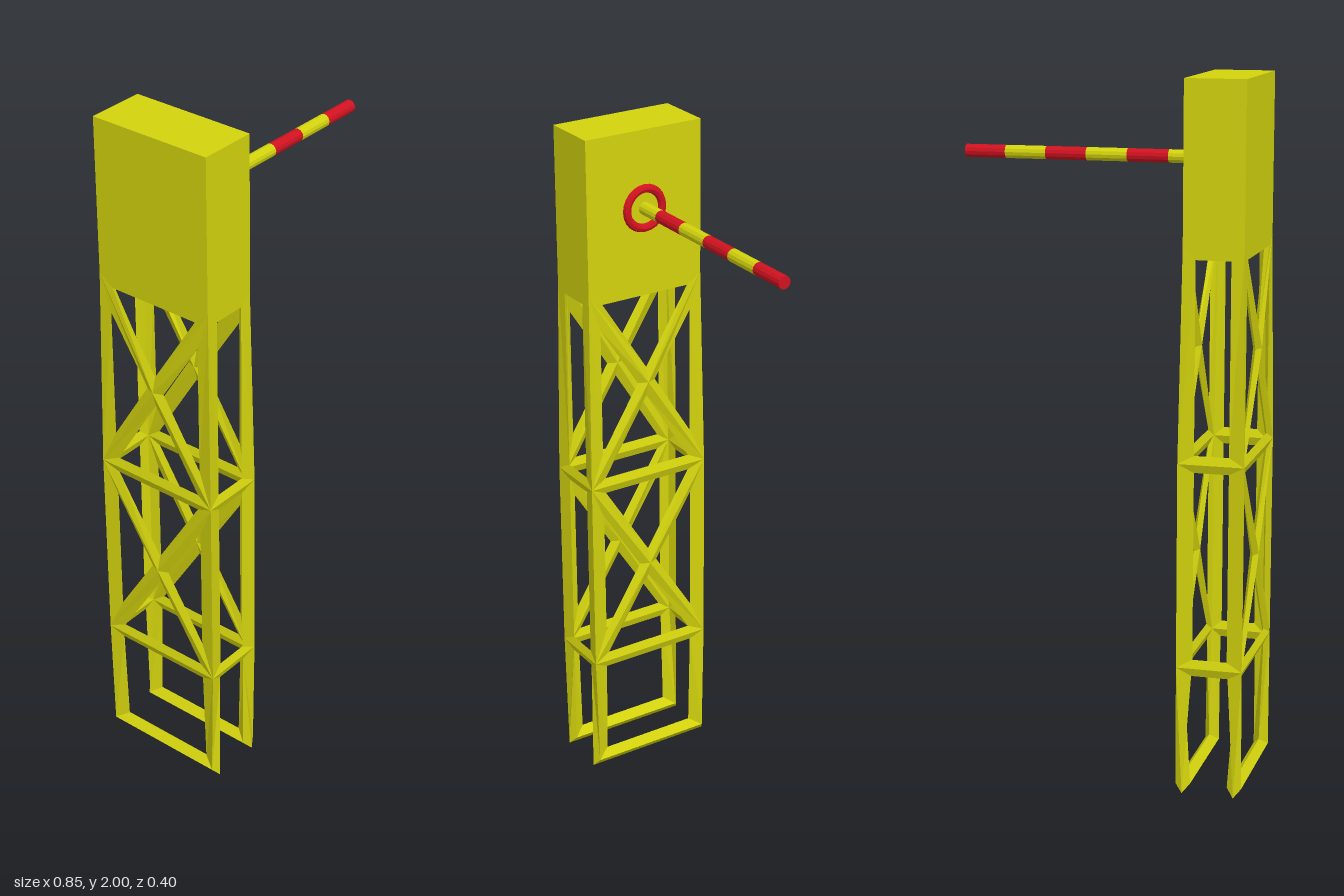
import * as THREE from 'three';

const CX = -0.33, HX = 0.085, HZ = 0.185;   // tower centre and half sizes
const LEVELS = [0.025, 0.37, 0.955, 1.55];  // heights of the lattice rings
const THICK = 0.0125, BAR = 0.024, LEG = 0.036;
const V = (x, y, z) => new THREE.Vector3(x, y, z);

const yellow = new THREE.MeshStandardMaterial({ color: 0xd2d20e, flatShading: true, side: THREE.DoubleSide });
const red = new THREE.MeshStandardMaterial({ color: 0xd01220, flatShading: true });

// Lattice node at a tower corner: middle, outer ridge, inner ridge and free-edge points
function corner(sx, k, sz) {
  const y = LEVELS[k], d = THICK / Math.SQRT2;
  const node = (p, dx, dz) => ({ p, out: p.clone().add(V(sx * dx, 0, sz * dz)), inn: p.clone().add(V(-sx * dx, 0, -sz * dz)) });
  if (k === 0) {
    // foot, slightly pulled in, with a pointed tip
    const n = node(V(CX + sx * 0.074, y, sz * HZ), 0.021, 0.002);
    n.edge = V(CX + sx * 0.074, 0, sz * 0.199);
    return n;
  }
  const n = node(V(CX + sx * HX, y, sz * HZ), d, d);
  if (k === 1) n.edge = V(CX + sx * (HX - 0.033), y - 0.024, sz * HZ);
  if (k === 3) {
    // top ring tucks under the head
    n.p.y -= 0.008;
    n.out = V(CX + sx * HX, y, sz * HZ);
    n.inn = V(CX + sx * (HX - 0.018), y - 0.01, sz * (HZ - 0.018));
  }
  return n;
}

// Crossing point of two braces
function hub(sx, k) {
  const p = V(CX + sx * HX, (LEVELS[k] + LEVELS[k + 1]) / 2, 0);
  return { p, out: p.clone().add(V(sx * THICK, 0, 0)), inn: p.clone().add(V(-sx * THICK, 0, 0)) };
}

// Frames one panel with ridged bars; free lists the edges with no neighbouring panel
function panel(pos, nodes, flip, free = []) {
  const n = nodes.length;
  const quad = (a, b, c, d, back) => {
    const q = back !== flip ? [a, d, c, b] : [a, b, c, d];
    for (const i of [0, 1, 2, 0, 2, 3]) pos.push(q[i].x, q[i].y, q[i].z);
  };
  const inset = nodes.map((node, i) => {
    const e1 = nodes[(i + 1) % n].p.clone().sub(node.p).normalize();
    const e2 = nodes[(i + n - 1) % n].p.clone().sub(node.p).normalize();
    const width = e => (Math.abs(e.y) > 0.97 ? LEG : BAR);
    const s = e1.clone().cross(e2).length();
    return node.p.clone().addScaledVector(e1, width(e2) / s).addScaledVector(e2, width(e1) / s);
  });
  nodes.forEach((a, i) => {
    const j = (i + 1) % n, b = nodes[j];
    quad(a.out, b.out, inset[j], inset[i], false);
    quad(a.inn, b.inn, inset[j], inset[i], true);
    if (free.includes(i)) {
      quad(b.out, a.out, a.edge, b.edge, false);
      quad(b.inn, a.inn, a.edge, b.edge, true);
    }
  });
}

function lattice() {
  const pos = [];
  for (const s of [-1, 1]) {
    // wide sides: open foot panel, then two cross-braced bays
    const c = (k, sz) => corner(s, k, sz);
    panel(pos, [c(0, 1), c(0, -1), c(1, -1), c(1, 1)], s < 0, [0, 1, 3]);
    for (const k of [1, 2]) {
      const ring = [c(k, 1), c(k, -1), c(k + 1, -1), c(k + 1, 1)];
      ring.forEach((a, i) => panel(pos, [a, ring[(i + 1) % 4], hub(s, k)], s < 0));
    }
    // narrow sides: two open bays
    for (const k of [1, 2]) {
      panel(pos, [corner(-1, k, s), corner(1, k, s), corner(1, k + 1, s), corner(-1, k + 1, s)],
        s < 0, k === 1 ? [0] : []);
    }
  }
  const g = new THREE.BufferGeometry();
  g.setAttribute('position', new THREE.Float32BufferAttribute(pos, 3));
  g.computeVertexNormals();
  return g;
}

export function createModel() {
  const group = new THREE.Group();
  const add = (parent, name, geometry, material, x = 0, y = 0, z = 0) => {
    const mesh = new THREE.Mesh(geometry, material);
    mesh.name = name;
    mesh.position.set(x, y, z);
    parent.add(mesh);
    return mesh;
  };

  add(group, 'latticeTower', lattice(), yellow);
  add(group, 'head', new THREE.BoxGeometry(HX * 2, 0.45, HZ * 2), yellow, CX, 1.775, 0);

  // Ring around the arm's root
  const ring = add(group, 'armCollar', new THREE.TorusGeometry(0.057, 0.0125, 8, 24), red, CX + HX, 1.775, 0);
  ring.rotation.y = Math.PI / 2;

  // Striped arm
  const arm = new THREE.Group();
  arm.name = 'arm';
  const band = 0.1175;
  for (let i = 0; i < 6; i++) {
    const seg = add(arm, 'armBand' + (i + 1), new THREE.CylinderGeometry(0.0185, 0.0185, band, 12),
      i % 2 ? red : yellow, 0.4265 - band * (5.5 - i), 1.775, 0);
    seg.rotation.z = Math.PI / 2;
  }
  group.add(arm);
  return group;
}
